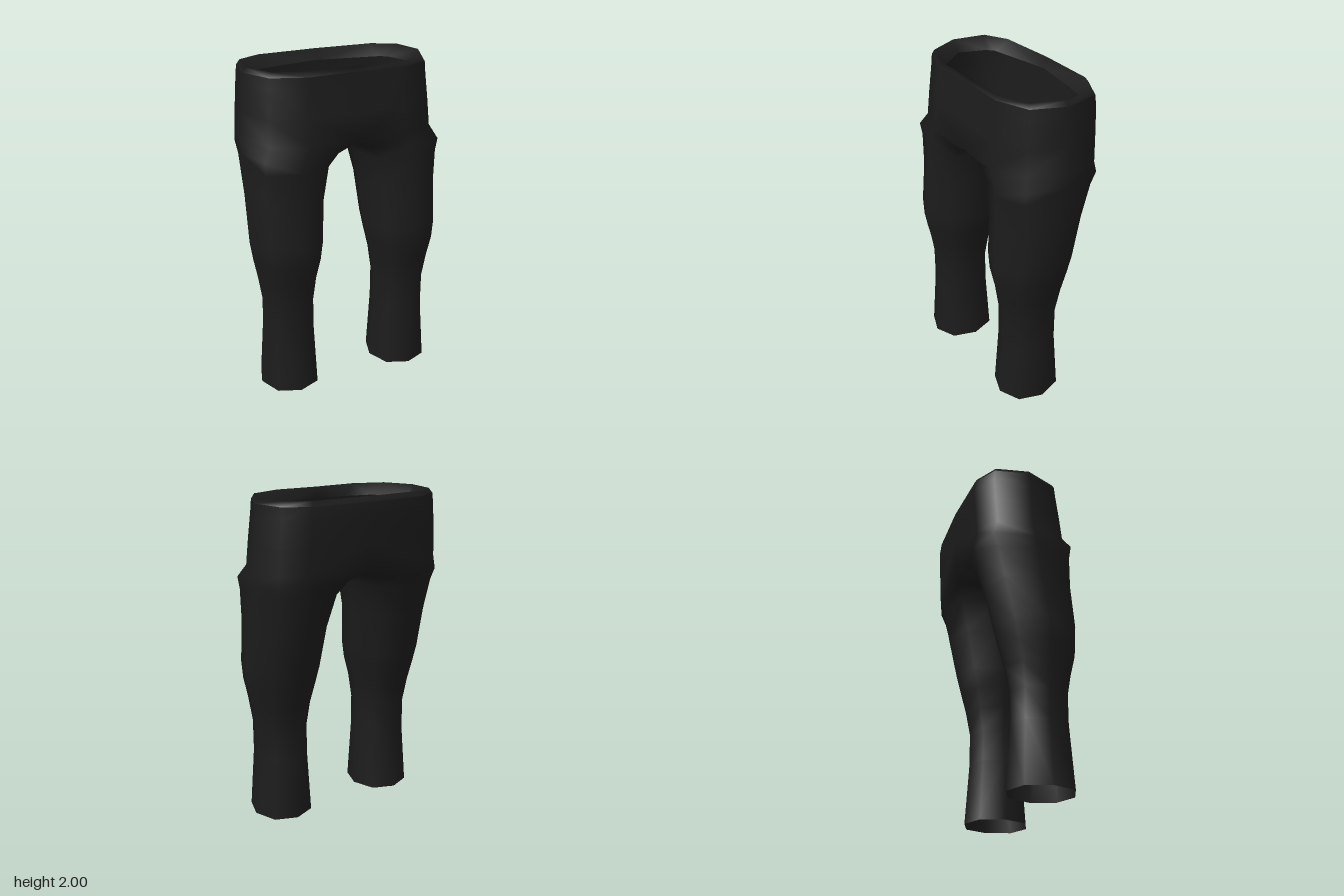
import * as THREE from 'three';
import { mergeVertices } from 'three/addons/utils/BufferGeometryUtils.js';

const material = new THREE.MeshStandardMaterial({ color: 0x1c1c1c, side: THREE.DoubleSide });

// Half-outline of the torso from centre front, round the left side, to centre back:
// [fraction of half width, fraction of depth (+ front, - back)]
const bodyOutline = [[0, 0.95], [0.5, 1], [0.85, 0.72], [1, 0], [0.93, -0.69], [0.67, -0.95], [0, -1]];
const lipOutline = [[0, 1], [0.4, 0.86], [0.73, 0.7], [1, 0], [0.88, -0.6], [0.8, -0.73], [0, -1]];

function torsoRow([y, xOut, zFront, zBack], outline = bodyOutline) {
  const zc = -0.015;
  return outline.map(([u, v]) =>
    new THREE.Vector3(u * xOut, y, zc + (v > 0 ? v * (zFront - zc) : -v * (zBack - zc))));
}

// Eight-sided leg ring, in the same order as the torso columns, ending on the inseam
function legRow([y, xIn, xOut, zFront, zBack, d = 0.73]) {
  const cx = (xIn + xOut) / 2, rx = (xOut - xIn) / 2;
  const cz = (zFront + zBack) / 2, rz = (zFront - zBack) / 2;
  return [[-d, d], [0, 1], [d, d], [1, 0], [d, -d], [0, -1], [-d, -d], [-1, 0]]
    .map(([u, v]) => new THREE.Vector3(cx + u * rx, y, cz + v * rz));
}

// Quads between neighbouring rows (top to bottom), added for both sides of the body
function addStrip(out, rows, closed) {
  for (let i = 0; i + 1 < rows.length; i++) {
    const n = rows[i].length;
    for (let j = 0; j < (closed ? n : n - 1); j++) {
      const k = (j + 1) % n;
      const a = rows[i][j], b = rows[i][k], c = rows[i + 1][j], d = rows[i + 1][k];
      for (const p of [a, c, b, b, c, d]) out.push(p.x, p.y, p.z);
      for (const p of [a, b, c, b, d, c]) out.push(p.x === 0 ? 0 : -p.x, p.y, p.z);
    }
  }
}

function smoothMesh(name, positions) {
  let geometry = new THREE.BufferGeometry();
  geometry.setAttribute('position', new THREE.Float32BufferAttribute(positions, 3));
  geometry = mergeVertices(geometry, 1e-4);
  geometry.computeVertexNormals();
  const mesh = new THREE.Mesh(geometry, material);
  mesh.name = name;
  return mesh;
}

export function createModel() {
  const group = new THREE.Group();
  group.name = 'trousers';

  // Hips and seat: y, half width, front z, back z
  const hips = [
    [1.97, 0.58, 0.255, -0.325],
    [1.9, 0.585, 0.262, -0.334],
    [1.74, 0.6, 0.282, -0.325],
    [1.58, 0.612, 0.3, -0.316],
  ].map(r => torsoRow(r));

  // Crotch seam: the last hip row dips at the centre and gains an inseam point
  const crotch = hips[hips.length - 1];
  crotch[0].y = 1.57;
  crotch[6].y = 1.58;
  const legTop = [...crotch, new THREE.Vector3(0, 1.515, -0.02)];

  // Legs: y, inner x, outer x, front z, back z, corner fullness
  const legs = [
    [1.505, 0.055, 0.613, 0.303, -0.302, 0.82],
    [1.43, 0.105, 0.613, 0.306, -0.285, 0.77],
    [1.23, 0.135, 0.612, 0.316, -0.24],
    [0.97, 0.155, 0.61, 0.333, -0.178],
    [0.86, 0.174, 0.596, 0.327, -0.147],
    [0.73, 0.203, 0.57, 0.295, -0.11],
    [0.58, 0.222, 0.546, 0.27, -0.081],
    [0.38, 0.22, 0.545, 0.27, -0.081],
    [0, 0.2, 0.57, 0.297, -0.107],
  ].map(legRow);

  const body = [];
  addStrip(body, hips, false);
  addStrip(body, [legTop, ...legs], true);
  group.add(smoothMesh('hipsAndLegs', body));

  // Waistband rolled over the top and turned inside
  const band = [];
  addStrip(band, [
    torsoRow([1.93, 0.51, 0.24, -0.295], lipOutline),
    torsoRow([2, 0.56, 0.243, -0.308]),
    torsoRow([1.97, 0.58, 0.255, -0.325]),
  ], false);
  group.add(smoothMesh('waistband', band));

  return group;
}
